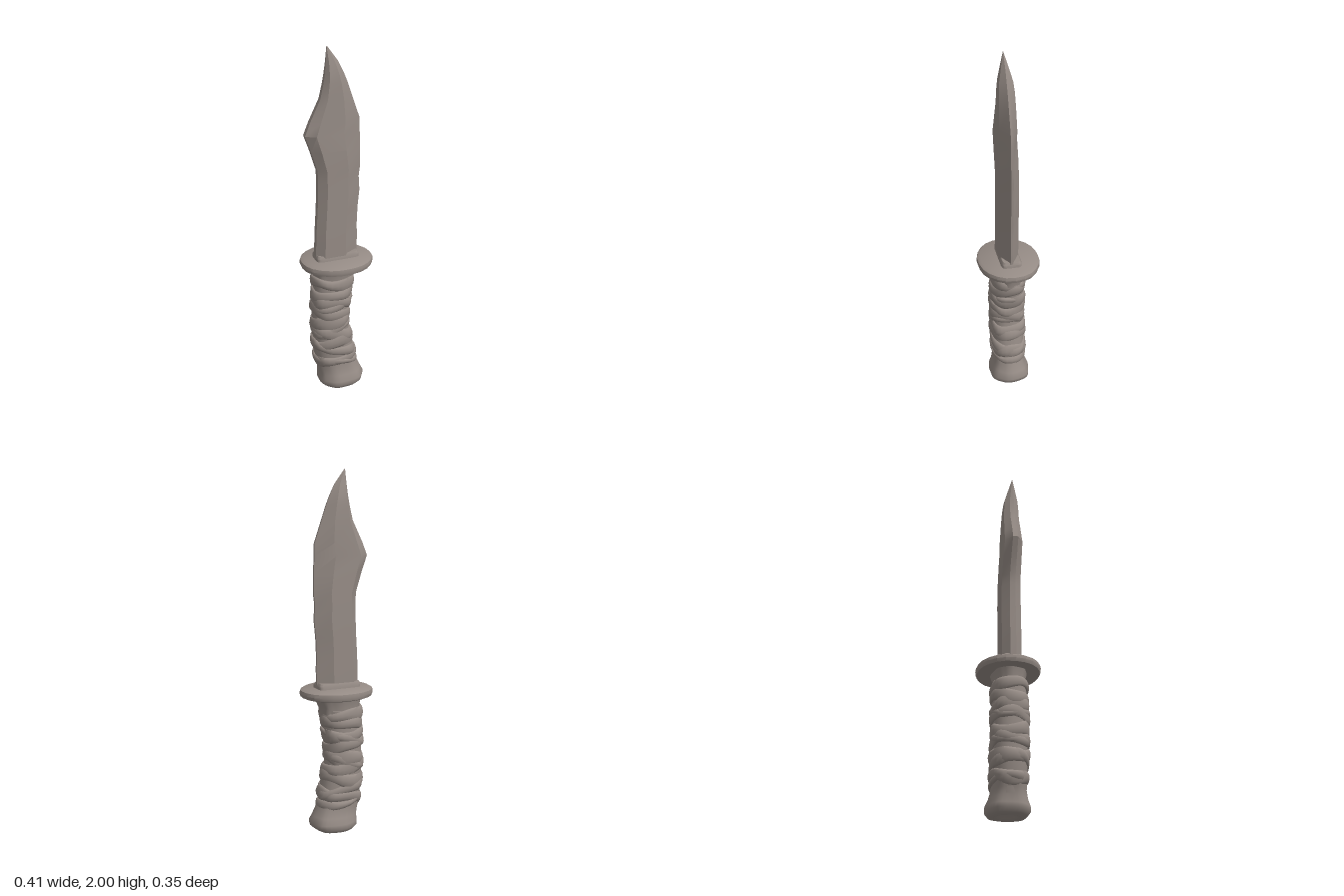
import * as THREE from 'three';
import { toCreasedNormals } from 'three/addons/utils/BufferGeometryUtils.js';

const worn = new THREE.MeshStandardMaterial({ color: 0x958b85 });
worn.name = 'worn grey brown';

// Joins rings of [x, y, z] points into a skin; ends are capped unless the rings loop
function loft(rings, { loop = false, crease = 0.6 } = {}) {
  const n = rings[0].length, m = rings.length;
  const points = rings.flat();
  const index = [];
  for (let j = 0; j < (loop ? m : m - 1); j++) {
    for (let i = 0; i < n; i++) {
      const k = (i + 1) % n, up = (j + 1) % m;
      const a = j * n + i, b = up * n + i, c = j * n + k, d = up * n + k;
      index.push(a, b, c, c, b, d);
    }
  }
  if (!loop) {
    for (const [ring, start, top] of [[rings[0], 0, false], [rings[m - 1], (m - 1) * n, true]]) {
      const mid = [0, 1, 2].map((q) => ring.reduce((s, p) => s + p[q], 0) / n);
      const centre = points.push(mid) - 1;
      for (let i = 0; i < n; i++) {
        const a = start + i, b = start + (i + 1) % n;
        if (top) index.push(a, centre, b);
        else index.push(a, b, centre);
      }
    }
  }
  const geo = new THREE.BufferGeometry();
  geo.setAttribute('position', new THREE.Float32BufferAttribute(points.flat(), 3));
  geo.setIndex(index);
  return toCreasedNormals(geo, crease);
}

// Rounded-oblong ring between two x limits with half depth rz
function oval(y, x0, x1, rz, sides = 24, power = 2.4, wobble = () => 0) {
  const cx = (x0 + x1) / 2, rx = (x1 - x0) / 2;
  const bend = (v) => Math.sign(v) * Math.abs(v) ** (2 / power);
  return Array.from({ length: sides }, (_, i) => {
    const a = (i / sides) * Math.PI * 2, s = 1 + wobble(a);
    return [cx + rx * s * bend(Math.cos(a)), y, rz * s * bend(Math.sin(a))];
  });
}

// Reads a row of numbers [y, ...values] interpolated at height y
function sample(rows, y) {
  let i = 0;
  while (i < rows.length - 2 && y > rows[i + 1][0]) i++;
  const t = THREE.MathUtils.clamp((y - rows[i][0]) / (rows[i + 1][0] - rows[i][0]), 0, 1);
  return rows[i].slice(1).map((v, q) => THREE.MathUtils.lerp(v, rows[i + 1][q + 1], t));
}

export function createModel() {
  const knife = new THREE.Group();
  const add = (name, geo) => {
    const mesh = new THREE.Mesh(geo, worn);
    mesh.name = name;
    knife.add(mesh);
  };

  // Blade: y, spine x, edge x, half thickness, z offset
  const bladeRows = [
    [0.81, -0.127, 0.116, 0.053, 0.003], [0.92, -0.124, 0.12, 0.054, 0.003],
    [1.0, -0.121, 0.118, 0.054, 0.003], [1.1, -0.115, 0.122, 0.054, 0.003],
    [1.2, -0.111, 0.132, 0.054, 0.003], [1.28, -0.11, 0.127, 0.053, 0.003],
    [1.34, -0.113, 0.134, 0.053, 0.004], [1.45, -0.148, 0.132, 0.052, 0.005],
    [1.54, -0.181, 0.129, 0.05, 0.006], [1.61, -0.153, 0.127, 0.048, 0.006],
    [1.73, -0.095, 0.085, 0.044, 0.007], [1.81, -0.077, 0.057, 0.041, 0.008],
    [1.86, -0.069, 0.036, 0.036, 0.009], [1.92, -0.063, 0.006, 0.022, 0.011],
    [2.0, -0.058, -0.054, 0.001, 0.013],
  ];
  add('blade', loft(bladeRows.map(([y, xs, xe, t, z]) => {
    const w = xe - xs, bevel = xs + w * 0.17, grind = xs + w * 0.66;
    const e = t * 0.12;
    return [[xe, y, z + e], [grind, y, z + t], [bevel, y, z + t], [xs, y, z + t * 0.3],
      [xs, y, z - t * 0.3], [bevel, y, z - t], [grind, y, z - t], [xe, y, z - e]];
  }), { crease: 0.4 }));

  // Low block where the blade meets the guard
  add('bladeBase', loft([
    oval(0.8, -0.128, 0.12, 0.058, 24, 7), oval(0.835, -0.128, 0.12, 0.058, 24, 7),
    oval(0.85, -0.122, 0.112, 0.05, 24, 7),
  ]));

  // Oval guard with a slightly battered rim
  const dents = (a) => 0.008 * Math.sin(5 * a + 1) * Math.sin(3 * a);
  const guardRows = [[0.768, 0.185], [0.774, 0.2], [0.792, 0.207], [0.81, 0.203], [0.819, 0.187]];
  add('guard', loft(guardRows.map(([y, r]) => oval(y, -r, r, r * 0.845, 22, 2.1, dents))));

  // Flared collar under the guard, with shallow vertical folds
  const folds = (a) => 0.025 * Math.sin(8 * a + 0.6);
  const collarRows = [[0.66, -0.128, 0.092, 0.077], [0.71, -0.132, 0.098, 0.08],
    [0.75, -0.139, 0.117, 0.088], [0.775, -0.145, 0.128, 0.095]];
  add('collar', loft(collarRows.map(([y, a, b, r]) => oval(y, a, b, r, 32, 2.4, folds))));

  // Curved grip: y, back x, front x, half depth
  const gripRows = [
    [0.1, -0.112, 0.118, 0.086], [0.16, -0.122, 0.106, 0.088], [0.22, -0.134, 0.1, 0.092],
    [0.3, -0.14, 0.084, 0.093], [0.4, -0.142, 0.062, 0.092], [0.5, -0.141, 0.061, 0.091],
    [0.6, -0.137, 0.077, 0.091], [0.7, -0.135, 0.085, 0.088],
  ];
  add('gripCore', loft(gripRows.map(([y, a, b, r]) => oval(y, a, b, r)), { crease: 1.2 }));

  // Overlapping wrap bands: y, half height, tilt along x, tilt along z
  const bands = [
    [0.675, 0.032, -0.012, 0.006], [0.62, 0.034, 0.014, -0.008], [0.56, 0.036, -0.014, 0.006],
    [0.5, 0.034, -0.022, -0.006], [0.435, 0.038, 0.012, 0.01], [0.37, 0.034, -0.018, -0.006],
    [0.31, 0.038, 0.024, 0.008], [0.255, 0.03, -0.034, 0.004], [0.2, 0.032, 0.022, -0.008],
    [0.175, 0.022, -0.014, 0.006], [0.4, 0.024, 0.034, -0.004], [0.54, 0.022, 0.03, 0.004],
  ];
  bands.forEach(([y0, h, tx, tz], k) => {
    const rings = Array.from({ length: 10 }, (_, j) => {
      const v = (j / 10) * Math.PI * 2;
      return Array.from({ length: 28 }, (_, i) => {
        const a = (i / 28) * Math.PI * 2;
        const wave = 0.006 * Math.sin(3 * a + k * 1.7);
        const half = h * (1 + 0.2 * Math.sin(2 * a + k));
        const y = y0 + tx * Math.cos(a) + tz * Math.sin(a) + wave + half * Math.sin(v);
        const [x0, x1, r] = sample(gripRows, y);
        const out = 0.012 * Math.cos(v) * (1 + 0.25 * Math.sin(4 * a + k * 2.3));
        return oval(y, x0 - out, x1 + out, r + out, 28)[i];
      });
    });
    add('wrapBand', loft(rings, { loop: true, crease: 1.2 }));
  });

  // Flared pommel with a dimple in its underside
  const pommelRows = [
    [0.028, 0.0, 0.05, 0.024], [0.01, -0.02, 0.066, 0.04], [0.002, -0.05, 0.092, 0.07],
    [0.008, -0.088, 0.122, 0.1], [0.03, -0.11, 0.15, 0.116], [0.055, -0.11, 0.157, 0.115],
    [0.09, -0.109, 0.14, 0.1], [0.13, -0.118, 0.122, 0.09], [0.175, -0.132, 0.108, 0.09],
  ];
  const creases = (a) => 0.018 * Math.sin(7 * a + 0.8);
  add('pommel', loft(pommelRows.map(([y, a, b, r]) => oval(y, a, b, r, 32, 2.4, creases)), { crease: 1 }));

  return knife;
}
